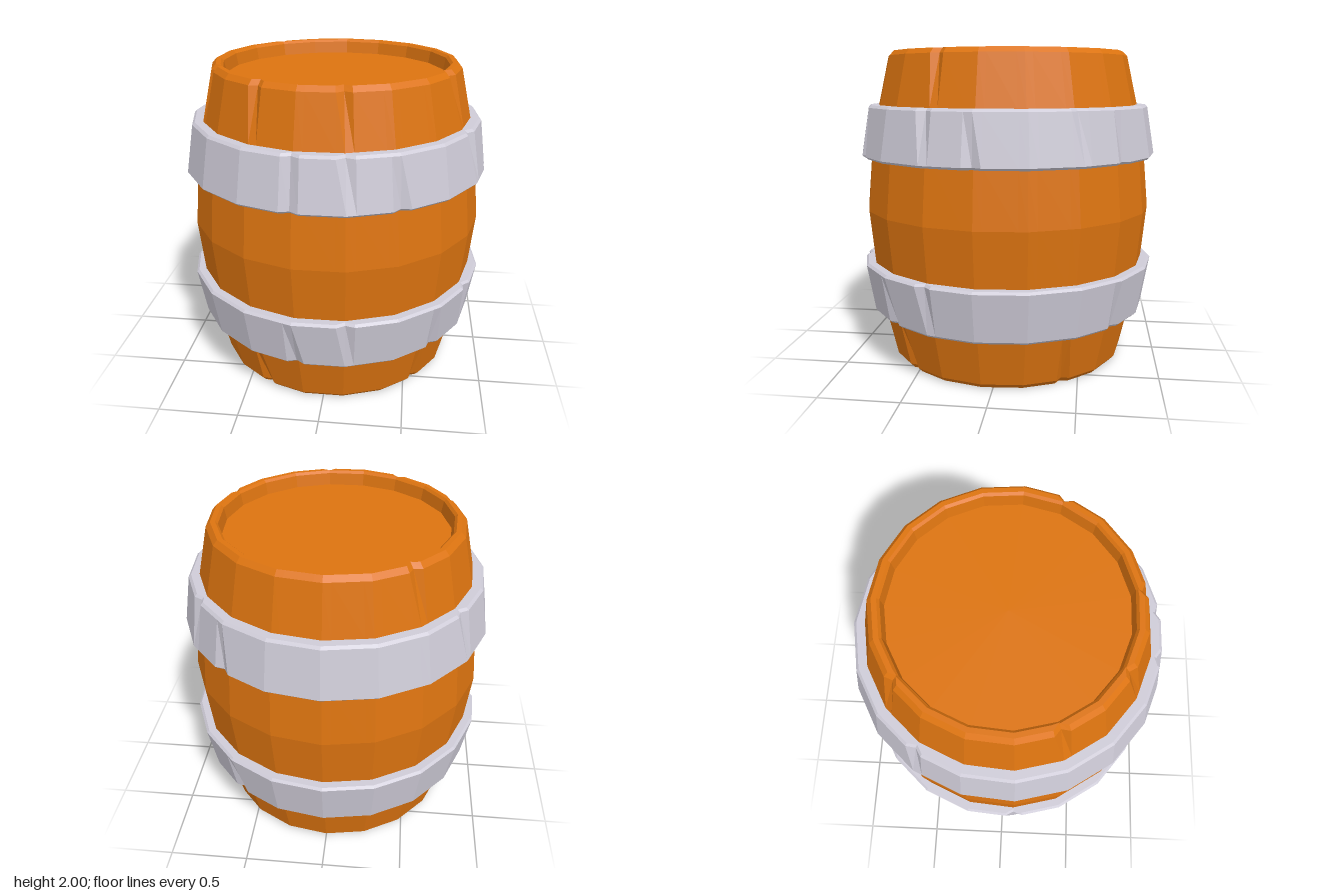
import * as THREE from 'three';

const SIDES = 19;
const WOOD = new THREE.MeshStandardMaterial({ color: 0xdd7410, flatShading: true });
const METAL = new THREE.MeshStandardMaterial({ color: 0xcfccd8, flatShading: true });

// Turned shell with flat staves. Each seam has a close column on both sides,
// so a chip can be cut by pulling the seam inward at the given profile rows.
function shell(name, profile, material, chips) {
  const points = profile.map(([r, y]) => new THREE.Vector2(r, y));
  const geometry = new THREE.LatheGeometry(points, SIDES * 3);
  const pos = geometry.attributes.position;
  const corner = k => {
    const a = Math.PI + (k / SIDES) * Math.PI * 2;
    return new THREE.Vector2(Math.sin(a), Math.cos(a));
  };
  for (let i = 0; i <= SIDES * 3; i++) {
    const seam = Math.floor(i / 3);
    const dir = corner(seam).lerp(corner(seam + 1), [0, 0.18, 0.82][i % 3]);
    for (let j = 0; j < points.length; j++) {
      const chipped = i % 3 === 0 &&
        chips.some(([k, rows]) => k === seam % SIDES && rows.includes(j));
      const r = points[j].x - (chipped ? 0.035 : 0);
      pos.setXYZ(i * points.length + j, dir.x * r, points[j].y, dir.y * r);
    }
  }
  geometry.computeVertexNormals();
  const mesh = new THREE.Mesh(geometry, material);
  mesh.name = name;
  return mesh;
}

const flip = profile => profile.map(([r, y]) => [r, 2 - y]).reverse();

export function createModel() {
  const barrel = new THREE.Group();
  barrel.name = 'barrel';

  // Staves: inner lip, bevelled rim and bulging side, mirrored about mid height
  const half = [
    [0.69, 0.1], [0.705, 0.015], [0.72, 0], [0.75, 0], [0.778, 0.03],
    [0.848, 0.335], [0.905, 0.66],
  ];
  const low = [3, 4], high = [10, 11];
  barrel.add(shell('staves', [...half, [0.937, 1], ...flip(half)], WOOD, [
    [2, high], [6, high], [8, high], [10, high], [13, high],
    [8, low], [12, low], [16, low],
  ]));

  // Recessed heads at both ends
  for (const [name, y] of [['bottomHead', 0.11], ['topHead', 1.89]]) {
    const head = new THREE.Mesh(
      new THREE.CylinderGeometry(0.7, 0.7, 0.04, SIDES, 1, false, Math.PI), WOOD);
    head.name = name;
    head.position.y = y;
    barrel.add(head);
  }

  // Bevelled metal hoops, wider towards the middle
  const hoop = [
    [0.83, 0.335], [0.9, 0.335], [0.916, 0.35],
    [0.967, 0.648], [0.952, 0.662], [0.88, 0.662],
  ];
  const under = [1, 2], over = [3, 4];
  barrel.add(shell('lowerHoop', hoop, METAL, [
    [9, under], [12, under], [17, under], [10, over], [13, over], [5, over],
  ]));
  barrel.add(shell('upperHoop', flip(hoop), METAL, [
    [3, over], [9, over], [10, over], [13, over], [16, over],
    [9, under], [11, under], [14, under], [17, under],
  ]));

  // An odd number of sides is deeper at the back, so centre it
  for (const part of barrel.children) part.position.z = 0.007;
  return barrel;
}
